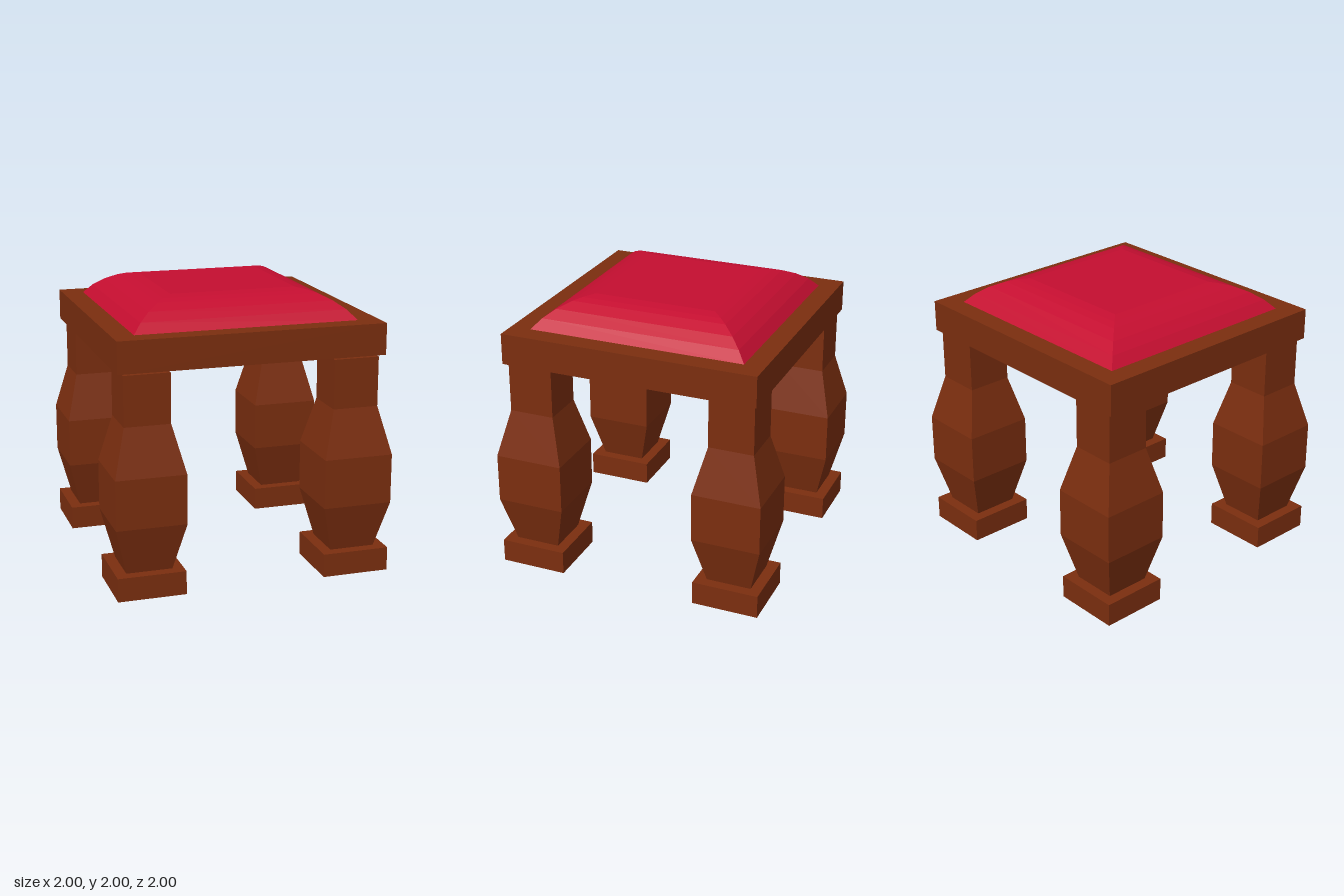
import * as THREE from 'three';

// Square-section solid from [halfWidth, y] pairs, bottom to top, closed at both ends
function squareTurned(profile) {
  const points = [
    [0, profile[0][1]],
    ...profile,
    [0, profile[profile.length - 1][1]],
  ].map(([half, y]) => new THREE.Vector2(half * Math.SQRT2, y));
  return new THREE.LatheGeometry(points, 4, Math.PI / 4).toNonIndexed();
}

function addMesh(parent, name, geometry, material, x = 0, y = 0, z = 0) {
  const mesh = new THREE.Mesh(geometry, material);
  mesh.name = name;
  mesh.position.set(x, y, z);
  parent.add(mesh);
  return mesh;
}

export function createModel() {
  const wood = new THREE.MeshStandardMaterial({ color: 0x7b2e0f, flatShading: true });
  wood.name = 'brown wood';
  const fabric = new THREE.MeshStandardMaterial({ color: 0xc40e30, flatShading: true });
  fabric.name = 'crimson fabric';

  const stool = new THREE.Group();
  stool.name = 'footstool';

  // Seat board
  addMesh(stool, 'seatFrame', new THREE.BoxGeometry(1.914, 0.225, 1.876), wood, 0, 1.6925, 0);

  // Domed cushion with mitred corners
  const cushion = squareTurned([
    [0.803, 1.8], [0.803, 1.805], [0.74, 1.873], [0.665, 1.928],
    [0.58, 1.97], [0.525, 1.987], [0.455, 2],
  ]);
  cushion.scale(1, 1, 0.984);
  addMesh(stool, 'cushion', cushion, fabric);

  // Four bulging square legs, each on a block foot
  const legGeometry = squareTurned([
    [0.164, 0.17], [0.25, 0.515], [0.25, 0.87], [0.164, 1.21], [0.164, 1.565],
  ]);
  const footGeometry = new THREE.BoxGeometry(0.486, 0.17, 0.486);
  for (const [sideZ, depth] of [['front', 1], ['back', -1]]) {
    for (const [sideX, across] of [['Left', 1], ['Right', -1]]) {
      const leg = new THREE.Group();
      leg.name = `${sideZ}${sideX}Leg`;
      leg.position.set(across * 0.75, 0, depth * 0.75);
      addMesh(leg, 'legPost', legGeometry, wood);
      addMesh(leg, 'legFoot', footGeometry, wood, 0, 0.085, 0);
      stool.add(leg);
    }
  }
  return stool;
}
